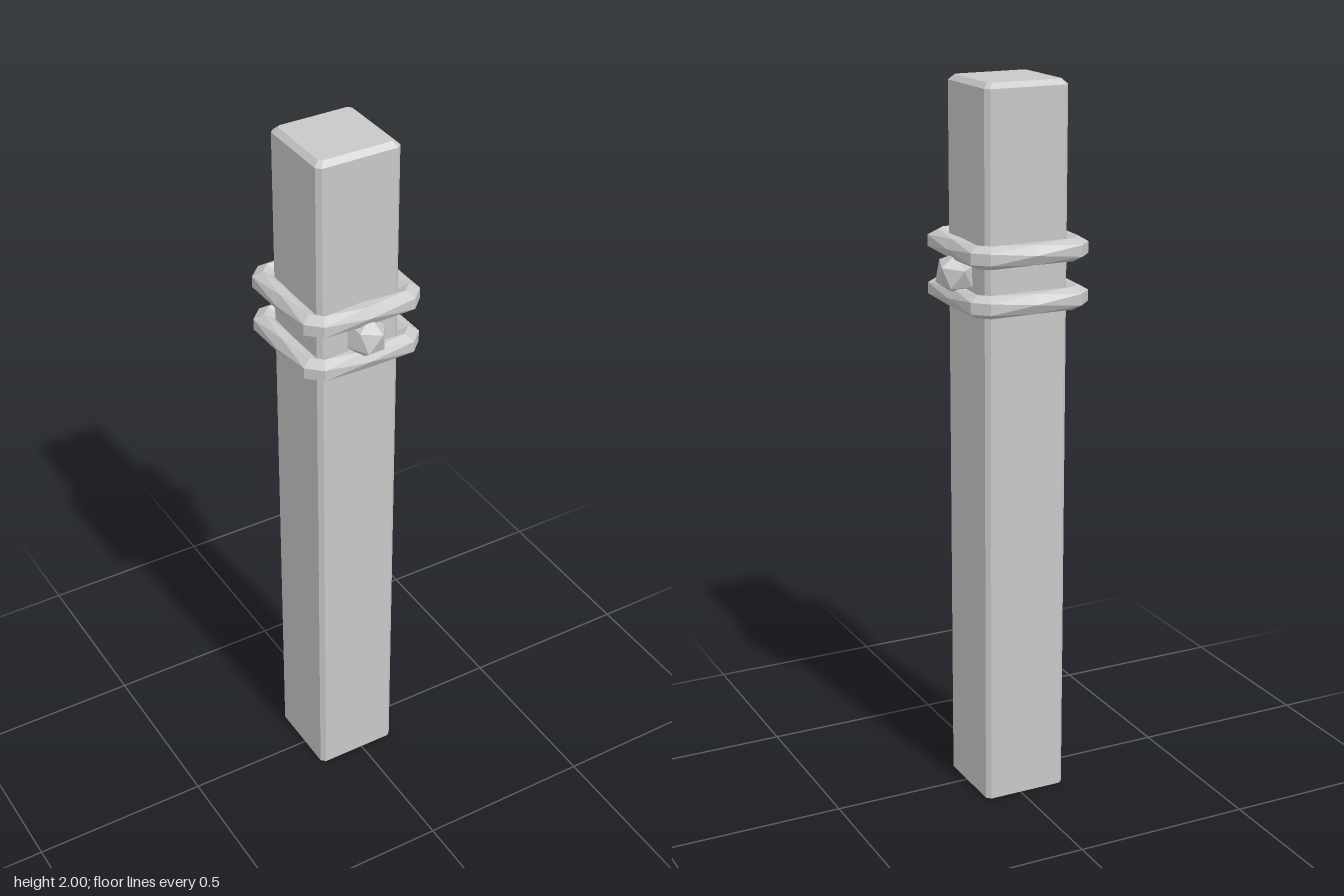
import * as THREE from 'three';

const CENTRE = -0.016; // post axis in x and z

// Flat-shaded geometry from a list of triangles (arrays of three points)
function fromTriangles(tris) {
  const g = new THREE.BufferGeometry();
  g.setAttribute('position', new THREE.Float32BufferAttribute(tris.flat(2), 3));
  g.computeVertexNormals();
  return g;
}

// Square with cut corners, counter-clockwise seen from above
function cutSquare(half, cut, y) {
  const a = half - cut;
  return [[half, a], [a, half], [-a, half], [-half, a], [-half, -a], [-a, -half], [a, -half], [half, -a]]
    .map(([x, z]) => [x, y, z]);
}

// Square post with chamfered edges and a chamfered top
function postGeometry() {
  const levels = [cutSquare(0.12, 0.012, 0), cutSquare(0.12, 0.012, 1.986), cutSquare(0.106, 0.009, 2)];
  const tris = [];
  for (let l = 0; l < 2; l++) {
    for (let i = 0; i < 8; i++) {
      const j = (i + 1) % 8;
      const [a, b, c, d] = [levels[l][i], levels[l][j], levels[l + 1][j], levels[l + 1][i]];
      tris.push([a, d, c], [a, c, b]);
    }
  }
  for (let i = 1; i < 7; i++) {
    tris.push([levels[2][0], levels[2][i + 1], levels[2][i]]);
    tris.push([levels[0][0], levels[0][i], levels[0][i + 1]]);
  }
  return fromTriangles(tris);
}

// Faceted band: hexagonal sections, those at mid-side turned by half a step
function bandGeometry() {
  const N = 6, sections = [];
  for (let side = 0; side < 4; side++) {
    const ang = side * Math.PI / 2, c = Math.cos(ang), s = Math.sin(ang);
    for (const along of [-1, 0, 1]) {
      const ring = [];
      for (let k = 0; k < N; k++) {
        const t = (k + (along === 0 ? 0 : 0.5)) / N * Math.PI * 2;
        const d = 0.147 + 0.029 * Math.cos(t);
        const w = along * (0.105 + (d - 0.12) * 0.545);
        ring.push([d * c - w * s, 0.031 * Math.sin(t), d * s + w * c]);
      }
      sections.push({ ring, mid: along === 0 });
    }
  }
  const tris = [];
  sections.forEach((A, i) => {
    const B = sections[(i + 1) % sections.length];
    for (let k = 0; k < N; k++) {
      const n = (k + 1) % N;
      const a = A.ring[k], b = A.ring[n], c = B.ring[k], d = B.ring[n];
      if (A.mid) tris.push([a, b, c], [b, d, c]); // turned section to straight
      else tris.push([a, b, d], [a, d, c]);
    }
  });
  return fromTriangles(tris);
}

export function createModel() {
  const stone = new THREE.MeshStandardMaterial({ color: 0xc8c8c8 });
  stone.name = 'light grey';
  const model = new THREE.Group();
  model.name = 'bandedPost';

  const add = (name, geometry, x, y, z) => {
    const mesh = new THREE.Mesh(geometry, stone);
    mesh.name = name;
    mesh.position.set(x, y, z);
    model.add(mesh);
    return mesh;
  };

  add('post', postGeometry(), CENTRE, 0, CENTRE);

  // Two bands around the upper part
  const band = bandGeometry();
  add('lowerBand', band, CENTRE, 1.43, CENTRE);
  add('upperBand', band, CENTRE, 1.56, CENTRE);

  // Faceted studs between the bands, on the front and the left side
  const stud = new THREE.IcosahedronGeometry(0.058, 0);
  stud.rotateZ(-0.75);
  add('frontStud', stud, CENTRE, 1.495, 0.136);
  add('leftStud', stud, 0.136, 1.495, CENTRE).rotation.y = Math.PI / 2;

  return model;
}
